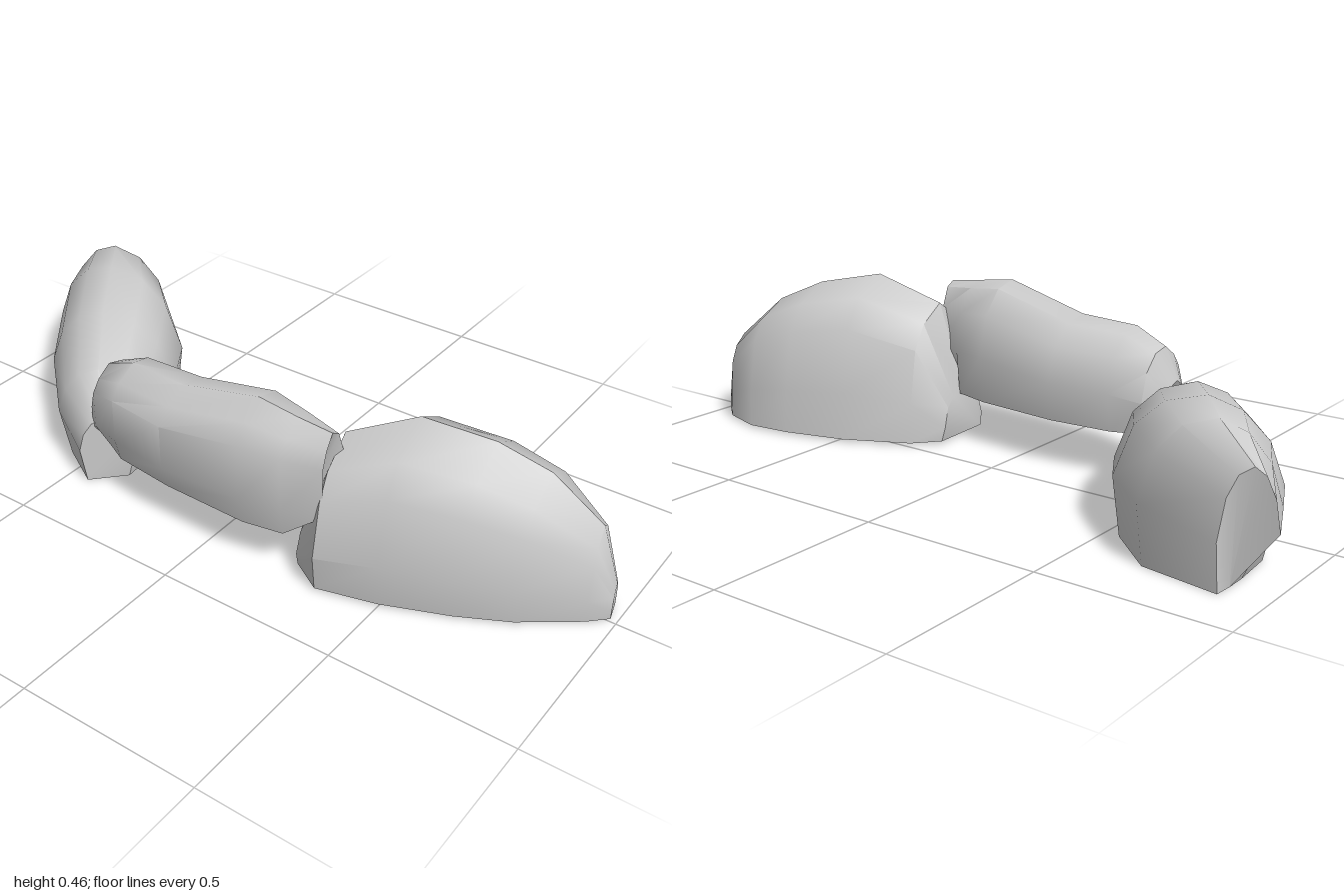
import * as THREE from 'three';
import { toCreasedNormals } from 'three/addons/utils/BufferGeometryUtils.js';

const material = new THREE.MeshStandardMaterial({ color: 0xcccccc, side: THREE.DoubleSide });

// Hollow boulder lofted through arched sections, open underneath.
// stations: [leftX, leftZ, rightX, rightZ, topY], ordered front to back
// arch: [fraction across, fraction of height], first point is the base rim
function boulder(name, { baseY, baseZ, arch, stations }) {
  const positions = [];
  const index = [];
  const n = arch.length;
  for (const [lx, lz, rx, rz, top] of stations) {
    arch.forEach(([t, h], j) => {
      let z = THREE.MathUtils.lerp(lz, rz, t);
      // the base rim is tucked in at both ends
      if (j === 0 || j === n - 1) z = THREE.MathUtils.clamp(z, baseZ[0], baseZ[1]);
      positions.push(THREE.MathUtils.lerp(lx, rx, t), baseY + h * (top - baseY), z);
    });
  }
  // walls
  for (let i = 0; i < stations.length - 1; i++) {
    for (let j = 0; j < n - 1; j++) {
      const a = i * n + j;
      const b = a + n;
      index.push(a, a + 1, b, a + 1, b + 1, b);
    }
  }
  // end faces
  const last = (stations.length - 1) * n;
  for (let j = 1; j < n - 1; j++) {
    index.push(0, j + 1, j);
    index.push(last, last + j, last + j + 1);
  }
  const geometry = new THREE.BufferGeometry();
  geometry.setAttribute('position', new THREE.Float32BufferAttribute(positions, 3));
  geometry.setIndex(index);
  const mesh = new THREE.Mesh(toCreasedNormals(geometry, 0.75), material);
  mesh.name = name;
  return mesh;
}

export function createModel() {
  const group = new THREE.Group();
  group.name = 'rockArc';

  group.add(boulder('frontRock', {
    baseY: 0.01,
    baseZ: [0.24, 0.99],
    arch: [[0.04, 0], [0, 0.27], [0.1, 0.66], [0.22, 0.84], [0.5, 1],
      [0.76, 0.88], [0.9, 0.7], [0.98, 0.3], [1, 0]],
    stations: [
      [0.0, 0.985, 0.06, 0.97, 0.1],
      [-0.05, 0.94, 0.11, 0.91, 0.25],
      [-0.16, 0.8, 0.145, 0.79, 0.37],
      [-0.23, 0.67, 0.13, 0.66, 0.43],
      [-0.3, 0.5, 0.08, 0.48, 0.465],
      [-0.34, 0.34, -0.01, 0.3, 0.39],
      [-0.28, 0.25, -0.08, 0.23, 0.15],
    ],
  }));

  group.add(boulder('middleRock', {
    baseY: 0.135,
    baseZ: [-0.36, 0.25],
    arch: [[0.08, 0], [0, 0.25], [0, 0.72], [0.14, 0.87], [0.38, 1],
      [0.65, 0.95], [0.88, 0.75], [1, 0.4], [0.93, 0]],
    stations: [
      [-0.3, 0.34, -0.2, 0.34, 0.44],
      [-0.34, 0.24, -0.15, 0.24, 0.452],
      [-0.365, 0.13, -0.115, 0.13, 0.467],
      [-0.36, -0.12, -0.09, -0.12, 0.405],
      [-0.335, -0.3, -0.105, -0.3, 0.4],
      [-0.3, -0.4, -0.13, -0.39, 0.36],
      [-0.28, -0.43, -0.19, -0.43, 0.27],
    ],
  }));

  group.add(boulder('backRock', {
    baseY: 0.003,
    baseZ: [-0.89, -0.36],
    arch: [[0.1, 0], [0, 0.5], [0.09, 0.76], [0.25, 0.93], [0.45, 1],
      [0.7, 0.93], [0.88, 0.75], [1, 0.4], [0.95, 0]],
    stations: [
      [-0.32, -0.45, -0.22, -0.34, 0.2],
      [-0.25, -0.59, -0.11, -0.36, 0.285],
      [-0.09, -0.76, 0.06, -0.43, 0.35],
      [0.12, -0.92, 0.21, -0.52, 0.382],
      [0.24, -0.975, 0.33, -0.66, 0.375],
      [0.3, -1.0, 0.36, -0.88, 0.3],
    ],
  }));

  return group;
}
